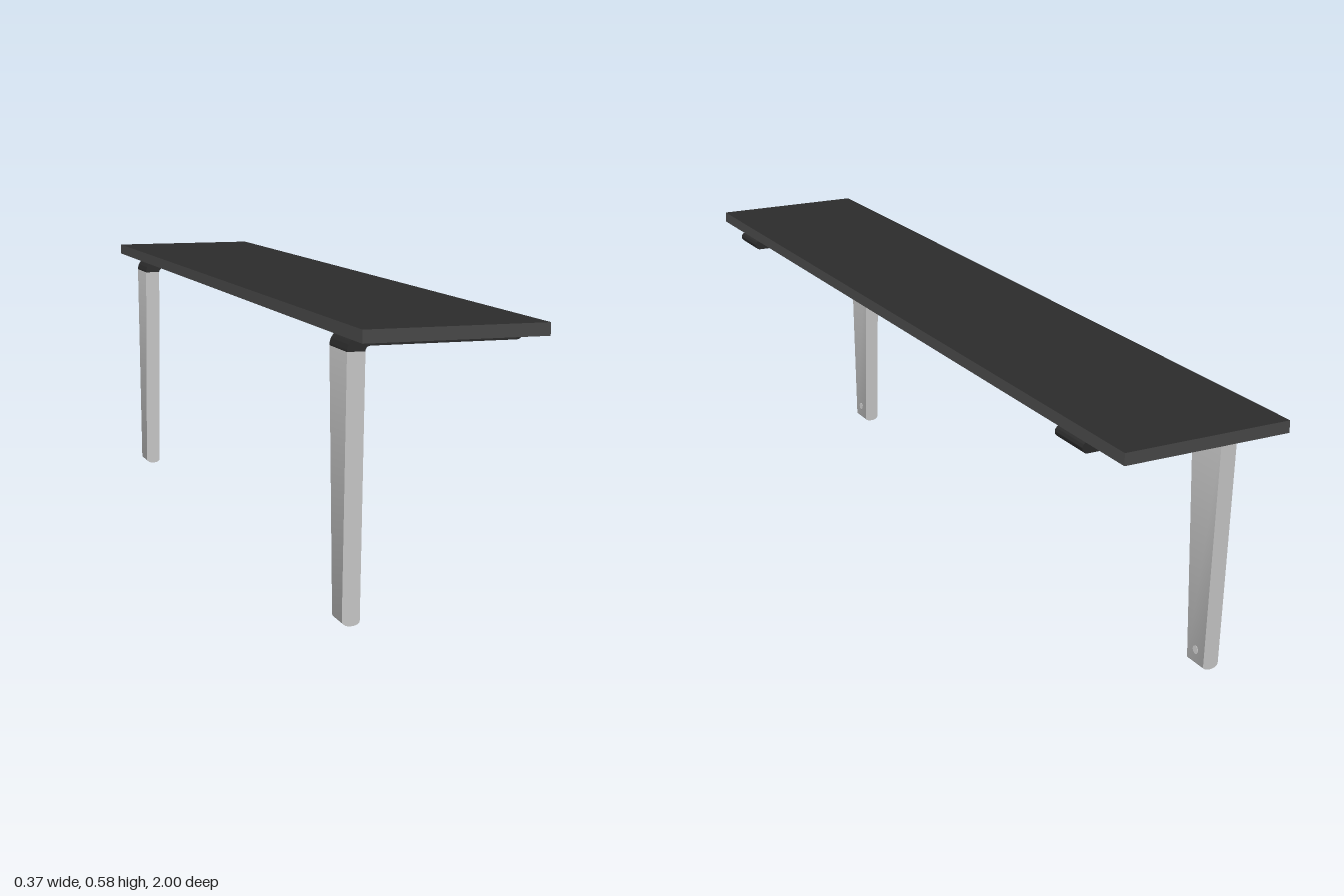
import * as THREE from 'three';
import { toCreasedNormals } from 'three/addons/utils/BufferGeometryUtils.js';

const grey = new THREE.MeshStandardMaterial({ color: 0xcccccc });
const dark = new THREE.MeshStandardMaterial({ color: 0x2b2b2b });
const edge = new THREE.MeshStandardMaterial({ color: 0x484848 });

function named(name, geometry, material) {
  const mesh = new THREE.Mesh(geometry, material);
  mesh.name = name;
  return mesh;
}

// Extrude a side profile to unit width, then set the width by height
function sideExtrude(shape, widthAt) {
  const geo = new THREE.ExtrudeGeometry(shape, { depth: 1, bevelEnabled: false, curveSegments: 10 });
  const p = geo.attributes.position;
  for (let i = 0; i < p.count; i++) p.setZ(i, (p.getZ(i) - 0.5) * widthAt(p.getY(i)));
  return toCreasedNormals(geo, 0.6);
}

// Tapered leg with a rounded foot
function legGeometry() {
  const s = new THREE.Shape();
  s.moveTo(-0.131, 0.527);
  s.lineTo(-0.167, 0.527);
  s.lineTo(-0.167, 0.01);
  s.quadraticCurveTo(-0.163, 0, -0.149, 0);
  s.quadraticCurveTo(-0.135, 0, -0.131, 0.008);
  return sideExtrude(s, y => 0.056 + 0.044 * y / 0.527);
}

// Bend above the leg and the arm under the shelf
function armGeometry() {
  const s = new THREE.Shape();
  s.moveTo(-0.167, 0.527);
  s.lineTo(-0.131, 0.527);
  s.absarc(-0.121, 0.527, 0.01, Math.PI, Math.PI / 2, true);
  s.lineTo(0.1715, 0.537);
  s.absarc(0.1715, 0.5485, 0.0115, -Math.PI / 2, Math.PI / 2, false);
  s.lineTo(-0.134, 0.56);
  s.absarc(-0.134, 0.527, 0.033, Math.PI / 2, Math.PI, false);
  return sideExtrude(s, () => 0.1);
}

function bracket() {
  const g = new THREE.Group();
  g.name = 'bracket';
  g.add(named('leg', legGeometry(), grey));
  g.add(named('arm', armGeometry(), dark));
  // Screw low on the leg
  const legScrew = named('legScrew', new THREE.CylinderGeometry(0.009, 0.009, 0.004, 16), grey);
  legScrew.rotation.z = Math.PI / 2;
  legScrew.position.set(-0.132, 0.036, 0);
  g.add(legScrew);
  // Screws under the arm
  for (const x of [-0.087, 0.144]) {
    const screw = named('armScrew', new THREE.CylinderGeometry(0.007, 0.007, 0.004, 16), grey);
    screw.position.set(x, 0.538, 0);
    g.add(screw);
  }
  return g;
}

export function createModel() {
  const model = new THREE.Group();
  model.name = 'shelfBench';
  // Board: dark faces, lighter edges
  const board = named('board', new THREE.BoxGeometry(0.362, 0.025, 2), [edge, edge, dark, dark, edge, edge]);
  board.position.set(-0.004, 0.5725, 0);
  model.add(board);
  for (const z of [-0.817, 0.817]) {
    const b = bracket();
    b.position.z = z;
    model.add(b);
  }
  return model;
}
